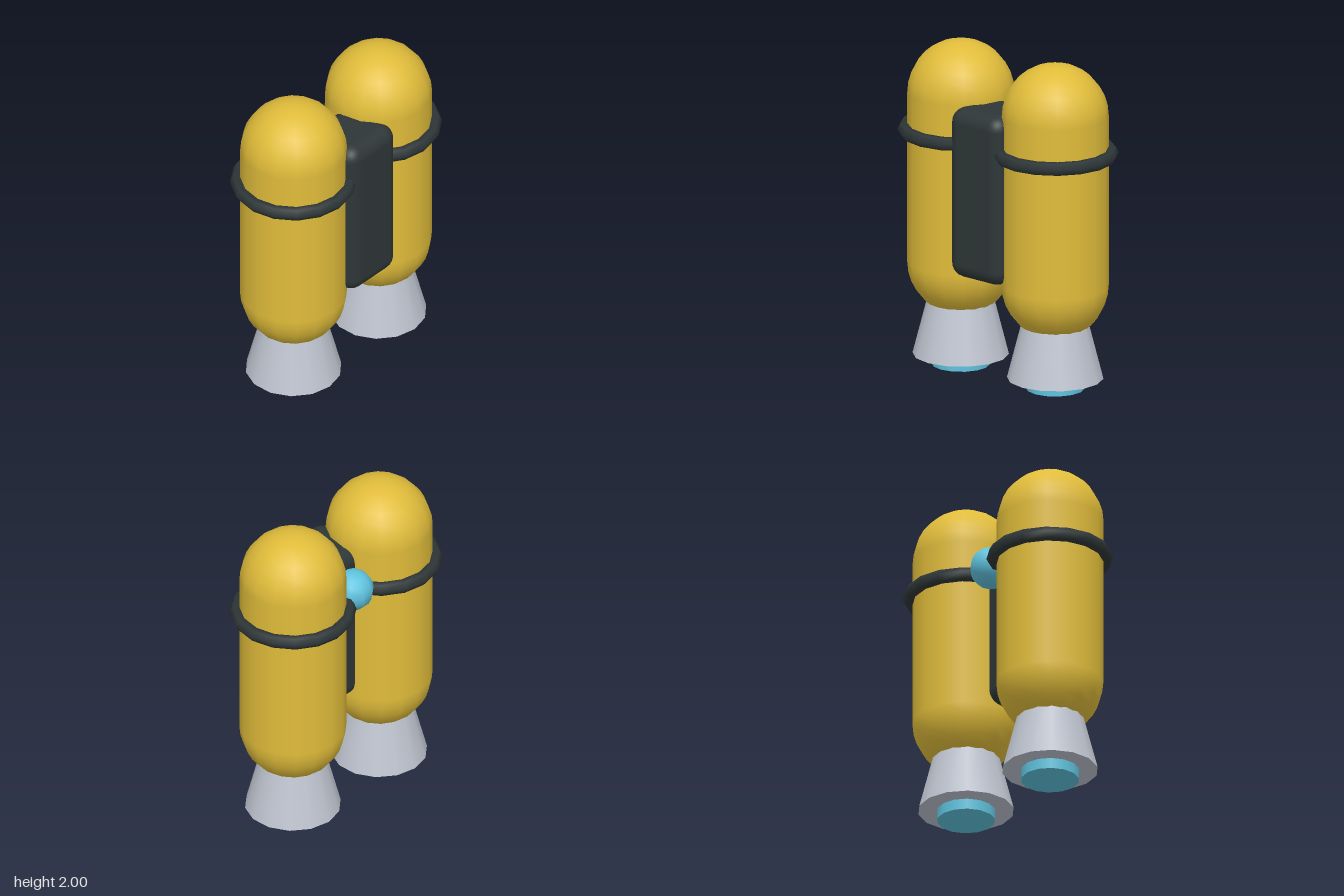
import * as THREE from 'three';
import { RoundedBoxGeometry } from 'three/addons/geometries/RoundedBoxGeometry.js';

const paint = (name, color) => {
  const m = new THREE.MeshStandardMaterial({ color });
  m.name = name;
  return m;
};

export function createModel() {
  const yellow = paint('tank yellow', 0xe0bc3a);
  const dark = paint('dark strap', 0x2e3637);
  const metal = paint('nozzle metal', 0xbfc5d0);
  const blue = paint('glow blue', 0x5fc3de);

  const model = new THREE.Group();
  model.name = 'twinTankJetpack';

  const add = (parent, name, geometry, material, x, y, z) => {
    const mesh = new THREE.Mesh(geometry, material);
    mesh.name = name;
    mesh.position.set(x, y, z);
    parent.add(mesh);
    return mesh;
  };

  // Shared shapes for the two thrusters
  const tankGeo = new THREE.CapsuleGeometry(0.317, 1.05, 8, 16);
  const ringGeo = new THREE.TorusGeometry(0.335, 0.042, 6, 16).rotateX(Math.PI / 2);
  const nozzleGeo = new THREE.CylinderGeometry(0.19, 0.286, 0.375, 14);
  const glowGeo = new THREE.CylinderGeometry(0.173, 0.173, 0.1, 14);

  for (const side of [1, -1]) {
    const thruster = new THREE.Group();
    thruster.name = side > 0 ? 'leftThruster' : 'rightThruster';
    thruster.position.x = side * 0.378;
    model.add(thruster);
    add(thruster, 'tank', tankGeo, yellow, 0, 1.158, 0);
    add(thruster, 'strapRing', ringGeo, dark, 0, 1.453, 0);
    add(thruster, 'nozzle', nozzleGeo, metal, 0, 0.2525, 0);
    add(thruster, 'exhaustGlow', glowGeo, blue, 0, 0.05, 0);
  }

  // Padded block joining the tanks, set toward the front
  add(model, 'backPad', new RoundedBoxGeometry(0.42, 1.045, 0.395, 3, 0.09), dark, 0, 1.1625, 0.1175);

  // Round light on the rear of the block
  add(model, 'rearLight', new THREE.SphereGeometry(0.126, 10, 10), blue, 0, 1.475, -0.135);

  return model;
}
